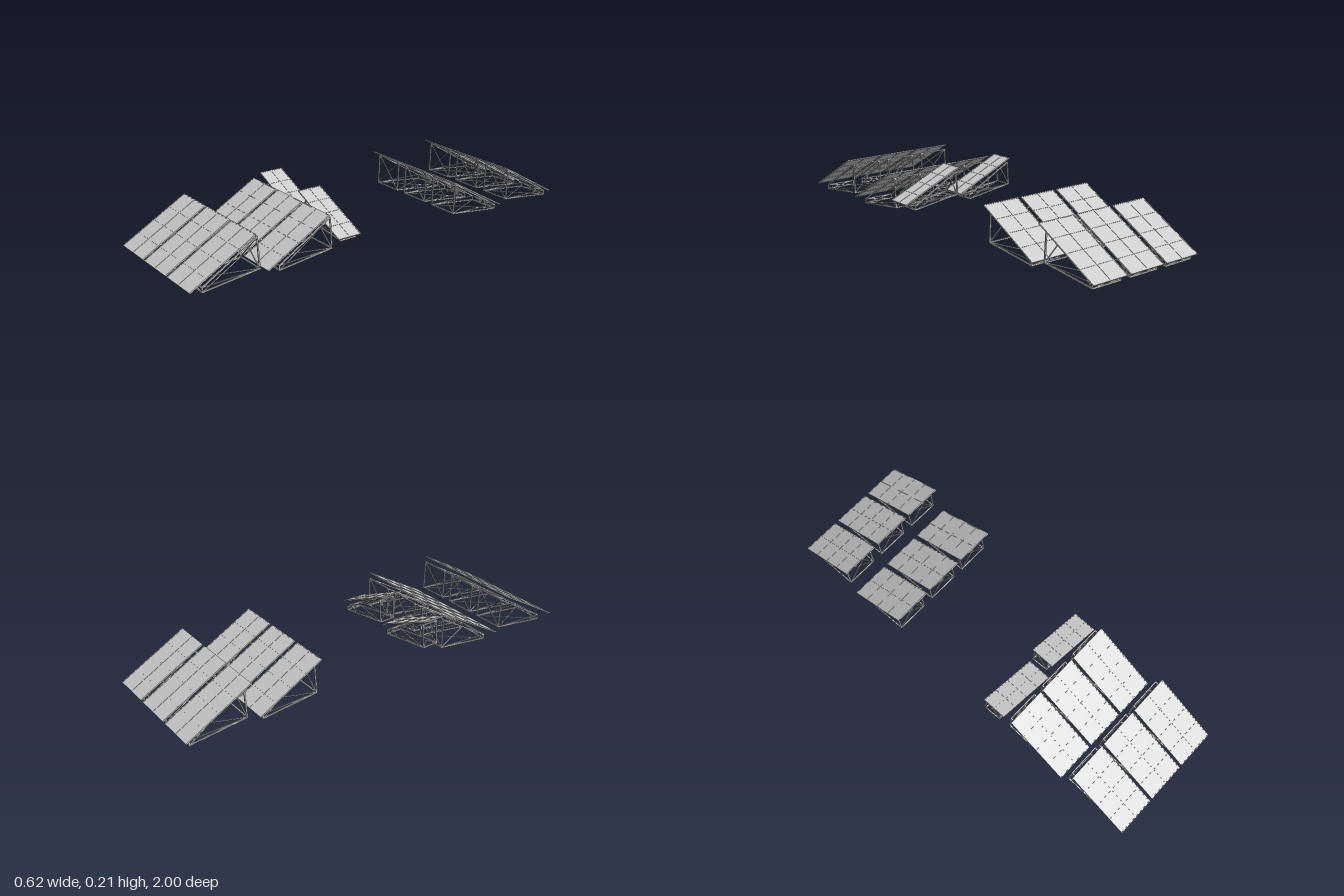
import * as THREE from 'three';

const material = new THREE.MeshStandardMaterial({ color: 0xcccccc, flatShading: true });

// Square bar between two points
function bar(parent, name, a, b, t = 0.006) {
  const p = new THREE.Vector3(...a), q = new THREE.Vector3(...b);
  const dir = q.clone().sub(p);
  const mesh = new THREE.Mesh(new THREE.BoxGeometry(t, dir.length() + t * 0.5, t), material);
  mesh.position.copy(p).add(q).multiplyScalar(0.5);
  mesh.quaternion.setFromUnitVectors(new THREE.Vector3(0, 1, 0), dir.normalize());
  mesh.name = name;
  parent.add(mesh);
}

function box(parent, name, size, x, y, z) {
  const mesh = new THREE.Mesh(new THREE.BoxGeometry(...size), material);
  mesh.position.set(x, y, z);
  mesh.name = name;
  parent.add(mesh);
}

// Tilted panel of 2 x 4 cells, its low edge towards +z
function createPanel({ width, run, lowY, highY }) {
  const panel = new THREE.Group();
  panel.name = 'panel';
  const length = Math.hypot(run, highY - lowY);
  box(panel, 'cellSheet', [width, 0.003, length], 0, 0, 0);
  for (let i = -1; i <= 1; i++) {
    box(panel, i ? 'sideRim' : 'middleBar', [0.004, 0.006, length], i * (width / 2 - 0.002), 0, 0);
  }
  for (let i = 0; i <= 4; i++) {
    box(panel, 'crossBar', [width, 0.0055, 0.004], 0, 0, (i / 4 - 0.5) * (length - 0.004));
  }
  panel.position.y = (lowY + highY) / 2;
  panel.rotation.x = Math.atan2(highY - lowY, run);
  return panel;
}

// Braced wedge-shaped stand under a panel
function createStand({ half, lowZ, rearZ, baseY, topY }) {
  const stand = new THREE.Group();
  stand.name = 'stand';
  const toe = s => [s * half, baseY + 0.004, lowZ];
  const toeTop = s => [s * half, baseY + 0.024, lowZ];
  const heel = s => [s * half, baseY + 0.036, rearZ];
  const head = s => [s * half, topY, rearZ + 0.008];
  for (const s of [-1, 1]) {
    bar(stand, 'baseRail', toe(s), heel(s));
    bar(stand, 'toePost', toe(s), toeTop(s));
    bar(stand, 'rearPost', heel(s), head(s));
    bar(stand, 'slopeRail', toeTop(s), head(s));
    bar(stand, 'upperBaseRail', toeTop(s), heel(s), 0.004);
    // Crossed braces, one of each pair per side
    bar(stand, 'rearBrace', heel(s), head(-s), 0.004);
    bar(stand, 'baseBrace', toe(s), heel(-s), 0.004);
    bar(stand, 'toeBrace', toe(s), toeTop(-s), 0.004);
  }
  for (const [name, node] of [['toeRail', toe], ['toeTopRail', toeTop], ['heelRail', heel], ['headRail', head]]) {
    bar(stand, name, node(-1), node(1));
  }
  return stand;
}

function createUnit(name, panelOptions, standOptions) {
  const unit = new THREE.Group();
  unit.name = name;
  unit.add(createPanel(panelOptions), createStand(standOptions));
  return unit;
}

export function createModel() {
  const model = new THREE.Group();
  model.name = 'solarArray';

  // Two rows facing forwards and two facing backwards
  const rows = [
    { z: 0.846, facing: 1, shift: -0.043 },
    { z: 0.49, facing: 1, shift: -0.043 },
    { z: -0.508, facing: -1, shift: 0 },
    { z: -0.846, facing: -1, shift: 0 },
  ];
  for (const { z, facing, shift } of rows) {
    for (const x of [-0.204, 0, 0.204]) {
      const unit = createUnit(
        facing > 0 ? 'frontFacingUnit' : 'backFacingUnit',
        { width: facing > 0 ? 0.192 : 0.186, run: 0.304, lowY: 0.024, highY: 0.196 },
        { half: 0.075, lowZ: 0.13 + shift, rearZ: -0.133 + shift, baseY: 0, topY: 0.176 });
      unit.position.set(x, 0, z);
      if (facing < 0) unit.rotation.y = Math.PI;
      model.add(unit);
    }
  }

  // Two narrow raised units turned towards +x
  for (const x of [-0.155, 0.16]) {
    const unit = createUnit('sideFacingUnit',
      { width: 0.117, run: 0.303, lowY: 0.08, highY: 0.213 },
      { half: 0.04, lowZ: 0.105, rearZ: -0.145, baseY: 0.048, topY: 0.193 });
    const stand = unit.getObjectByName('stand');
    stand.position.x = 0.02;
    stand.rotation.y = 0.04;
    unit.position.set(x, 0, 0.242);
    unit.rotation.y = Math.PI / 2;
    model.add(unit);
  }
  return model;
}
